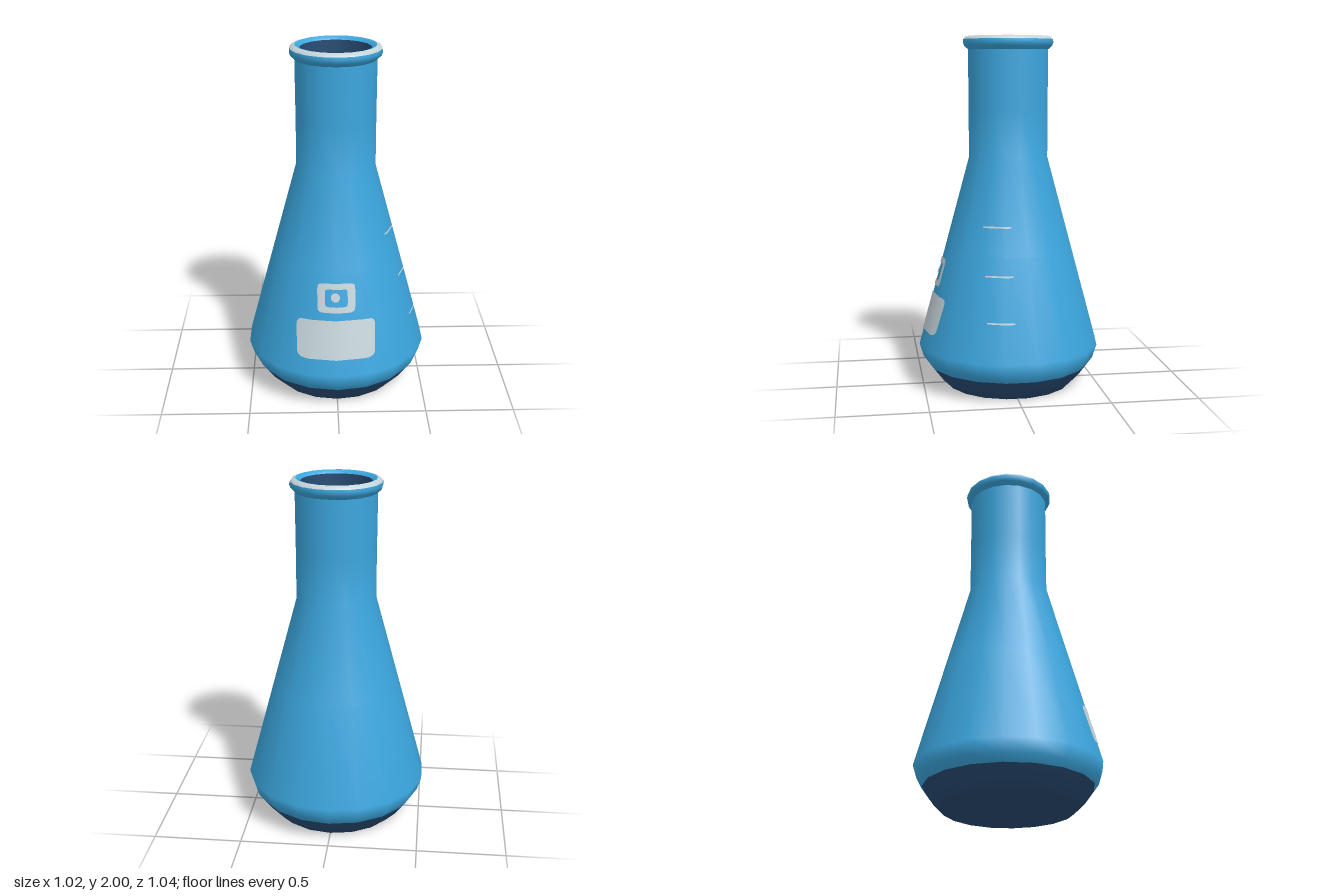
import * as THREE from 'three';

const SIDES = 18;
const STEP = (Math.PI * 2) / SIDES;

const mat = (name, color) => {
  const m = new THREE.MeshStandardMaterial({ color });
  m.name = name;
  return m;
};

// Radius of the flask's sloping wall at height y
const coneRadius = (y) => THREE.MathUtils.mapLinear(y, 0.24, 1.32, 0.52, 0.226);

// Point on the faceted wall: u runs around from angle phi0, y is the height
function onWall(phi0, u, y, lift) {
  const R = coneRadius(y);
  const phi = phi0 + Math.asin(u / R);
  const local = THREE.MathUtils.euclideanModulo(phi, STEP) - STEP / 2;
  const r = (R * Math.cos(STEP / 2)) / Math.cos(local) + lift;
  return { phi, p: [r * Math.sin(phi), y, r * Math.cos(phi)] };
}

// Rounded painted patch hugging the wall; inner > 0 leaves a hole in the middle
function decal(phi0, cu, cy, w, h, { inner = 0, power = 6, lift = 0.005 } = {}) {
  const around = 64, rings = 10;
  const pos = [], nor = [], idx = [];
  const bend = (v) => Math.sign(v) * Math.abs(v) ** (2 / power);
  for (let i = 0; i <= rings; i++) {
    const s = inner + (1 - inner) * (i / rings);
    for (let j = 0; j <= around; j++) {
      const t = (j / around) * Math.PI * 2;
      const u = cu + (s * w * bend(Math.cos(t))) / 2;
      const y = cy + (s * h * bend(Math.sin(t))) / 2;
      const { phi, p } = onWall(phi0, u, y, lift);
      pos.push(...p);
      nor.push(0.965 * Math.sin(phi), 0.263, 0.965 * Math.cos(phi));
      if (i < rings && j < around) {
        const a = i * (around + 1) + j, b = a + around + 1;
        idx.push(a, b, b + 1, a, b + 1, a + 1);
      }
    }
  }
  const g = new THREE.BufferGeometry();
  g.setAttribute('position', new THREE.Float32BufferAttribute(pos, 3));
  g.setAttribute('normal', new THREE.Float32BufferAttribute(nor, 3));
  g.setIndex(idx);
  return g;
}

export function createModel() {
  const group = new THREE.Group();
  const blue = mat('flask blue', 0x3ba6de);
  const navy = mat('deep navy', 0x284c74);
  const white = mat('pale paint', 0xc4d3d9);

  const add = (name, geometry, material) => {
    const mesh = new THREE.Mesh(geometry, material);
    mesh.name = name;
    group.add(mesh);
  };
  const lathe = (name, material, points) =>
    add(name, new THREE.LatheGeometry(points.map(([r, y]) => new THREE.Vector2(r, y)), SIDES), material);

  // Glass, from the underside up over the rim and down inside
  lathe('base', navy, [[0, 0], [0.36, 0], [0.42, 0.06], [0.468, 0.125]]);
  lathe('body', blue, [
    [0.468, 0.125], [0.497, 0.165], [0.52, 0.24], [coneRadius(0.8), 0.8],
    [0.226, 1.32], [0.226, 1.6], [0.228, 1.925],
  ]);
  lathe('rimCollar', blue, [[0.228, 1.925], [0.25, 1.945], [0.257, 1.965], [0.254, 1.982]]);
  lathe('rimBand', white, [[0.254, 1.982], [0.245, 1.994], [0.226, 2]]);
  lathe('rimInnerEdge', blue, [[0.226, 2], [0.212, 1.997], [0.198, 1.982]]);
  lathe('innerWall', navy, [
    [0.198, 1.982], [0.198, 1.6], [0.2, 1.31], [0.49, 0.25], [0.43, 0.1], [0, 0.04],
  ]);

  // Painted label, square frame and dot on the front
  add('label', decal(0, -0.01, 0.44, 0.44, 0.215, { power: 9 }), white);
  add('labelFrame', decal(0, -0.007, 0.67, 0.21, 0.16, { inner: 0.6, power: 8 }), white);
  add('labelDot', decal(0, -0.012, 0.675, 0.05, 0.05, { power: 2 }), white);

  // Measuring marks on the left side
  for (const y of [0.96, 0.7, 0.455]) {
    add('measuringMark', decal(Math.PI / 2, -0.105, y, 0.15, 0.009, { lift: 0.003 }), white);
  }
  return group;
}
